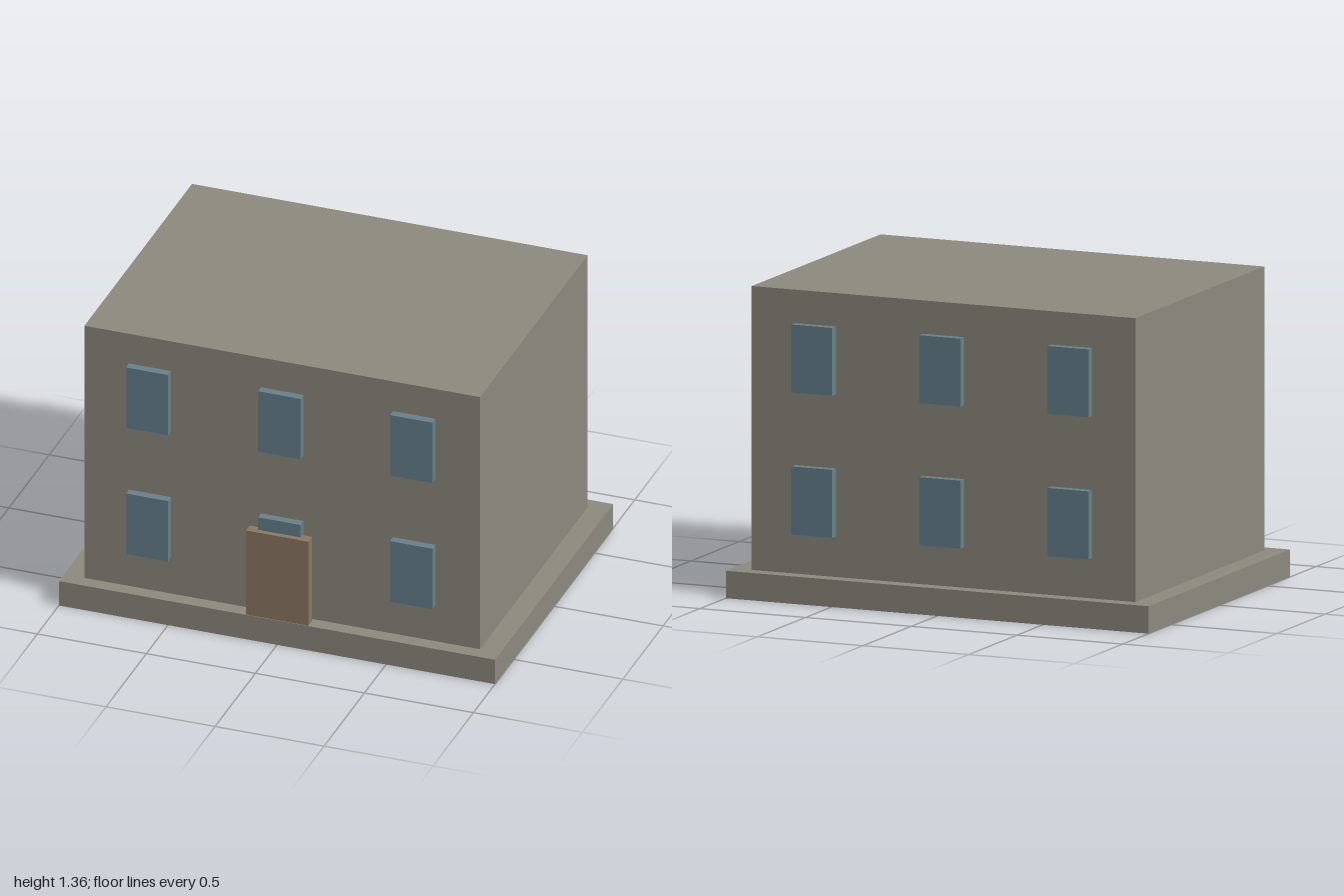
import * as THREE from 'three';

const stone = new THREE.MeshStandardMaterial({ name: 'stone', color: 0x8c897e });
const glass = new THREE.MeshStandardMaterial({ name: 'blue glass', color: 0x67808d });
const wood = new THREE.MeshStandardMaterial({ name: 'brown wood', color: 0x8b7762 });

// Box given by its width and its y and z extents, centred on x
function block(name, material, x, width, [y0, y1], [z0, z1]) {
  const mesh = new THREE.Mesh(new THREE.BoxGeometry(width, y1 - y0, z1 - z0), material);
  mesh.name = name;
  mesh.position.set(x, (y0 + y1) / 2, (z0 + z1) / 2);
  return mesh;
}

export function createModel() {
  const house = new THREE.Group();
  house.name = 'house';

  // Plinth and main block
  house.add(block('plinth', stone, 0, 2, [0, 0.12], [-0.732, 0.732]));
  house.add(block('walls', stone, 0, 1.814, [0.12, 1.362], [-0.667, 0.667]));

  // Two rows of three windows on the front and the back
  const windows = new THREE.Group();
  windows.name = 'windows';
  for (const [side, depth] of [['front', [0.667, 0.705]], ['back', [-0.705, -0.667]]]) {
    for (const [floor, height] of [['Lower', [0.297, 0.595]], ['Upper', [0.919, 1.216]]]) {
      for (const x of [-0.606, 0, 0.606]) {
        windows.add(block(`${side}${floor}Window`, glass, x, 0.194, height, depth));
      }
    }
  }
  house.add(windows);

  // Door standing just in front of the wall
  house.add(block('frontDoor', wood, 0, 0.286, [0.12, 0.534], [0.683, 0.729]));

  return house;
}
